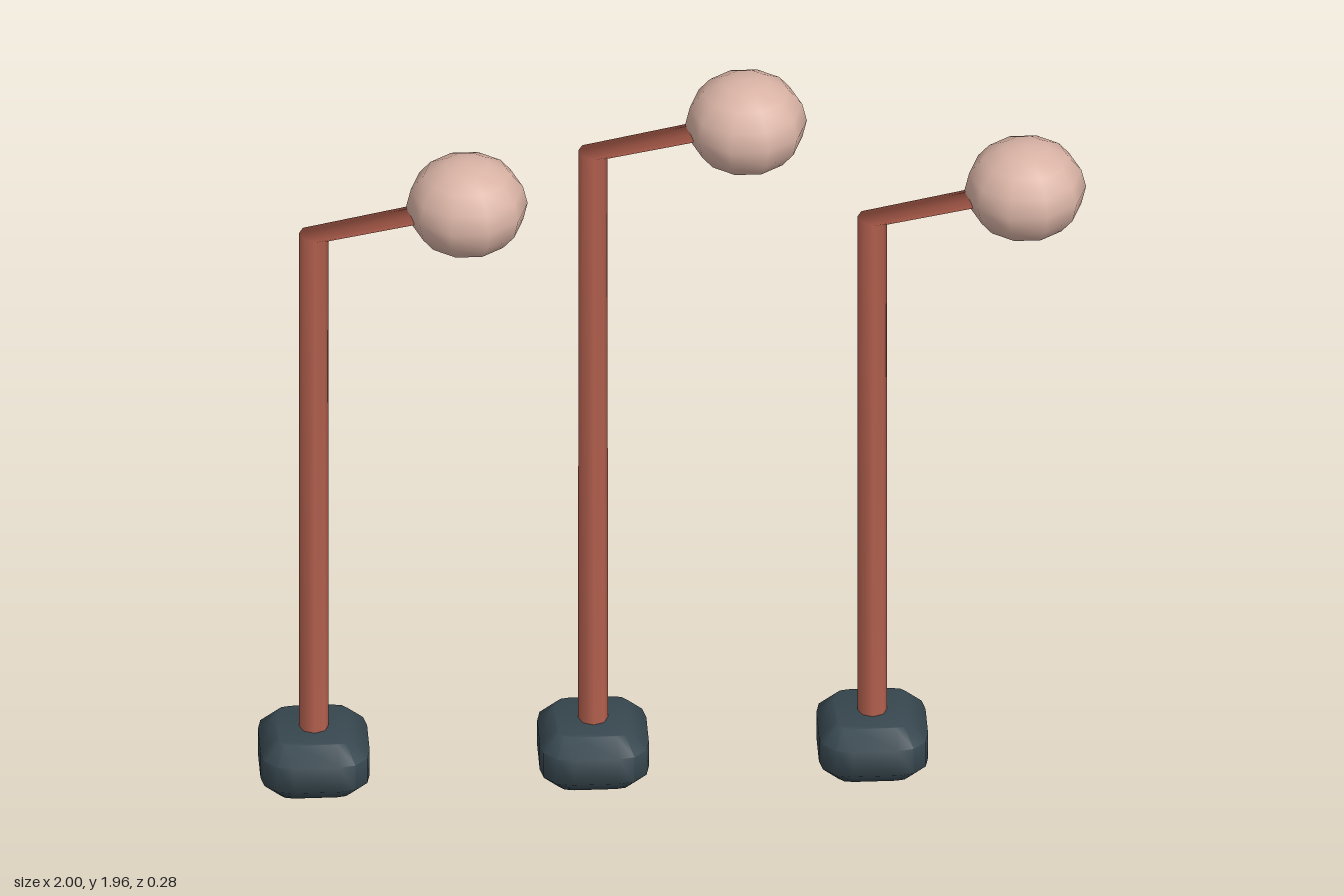
import * as THREE from 'three';
import { toCreasedNormals } from 'three/addons/utils/BufferGeometryUtils.js';

const clay = new THREE.MeshStandardMaterial({ color: 0xb5614f });
clay.name = 'clay red';
const blush = new THREE.MeshStandardMaterial({ color: 0xd9b3a5 });
blush.name = 'pale blush';
const slate = new THREE.MeshStandardMaterial({ color: 0x37474f });
slate.name = 'dark slate';

const REACH = 0.37; // globe offset from the post
const RISE = 0.073;

// Rounded square foot with chamfered top and bottom
function footGeometry() {
  const h = 0.091, r = 0.04, s = new THREE.Shape();
  s.moveTo(-h + r, -h);
  s.lineTo(h - r, -h).quadraticCurveTo(h, -h, h, -h + r);
  s.lineTo(h, h - r).quadraticCurveTo(h, h, h - r, h);
  s.lineTo(-h + r, h).quadraticCurveTo(-h, h, -h, h - r);
  s.lineTo(-h, -h + r).quadraticCurveTo(-h, -h, -h + r, -h);
  const geo = new THREE.ExtrudeGeometry(s, {
    depth: 0.07, curveSegments: 3, bevelEnabled: true,
    bevelSize: 0.041, bevelThickness: 0.04, bevelSegments: 1,
  });
  geo.rotateX(-Math.PI / 2).translate(0, 0.04, 0);
  return toCreasedNormals(geo, 0.9);
}

// One bent tube: upright post, mitred corner, then a sloping arm
function stemGeometry(height) {
  const geo = new THREE.CylinderGeometry(0.036, 0.036, 2, 8, 2, true);
  const rings = [
    { x: 0, y: 0.1, tilt: 0 },
    { x: 0, y: height, tilt: -0.2 },
    { x: REACH, y: height + RISE, tilt: -0.36 },
  ];
  const pos = geo.attributes.position, nor = geo.attributes.normal;
  const axis = new THREE.Vector3(0, 0, 1), v = new THREE.Vector3();
  for (let i = 0; i < pos.count; i++) {
    const ring = rings[Math.round(pos.getY(i)) + 1];
    v.set(pos.getX(i), 0, pos.getZ(i)).applyAxisAngle(axis, ring.tilt);
    pos.setXYZ(i, v.x + ring.x, v.y + ring.y, v.z);
    v.normalize();
    nor.setXYZ(i, v.x, v.y, v.z);
  }
  return geo;
}

function addMesh(parent, name, geometry, material) {
  const mesh = new THREE.Mesh(geometry, material);
  mesh.name = name;
  parent.add(mesh);
  return mesh;
}

export function createModel() {
  const model = new THREE.Group();
  model.name = 'lampRow';
  const foot = footGeometry();
  const globe = new THREE.SphereGeometry(0.147, 10, 8).scale(1, 0.84, 1);

  // Three lamps, the middle one taller
  [1.55, 1.762, 1.55].forEach((height, i) => {
    const lamp = new THREE.Group();
    lamp.name = ['rightLamp', 'middleLamp', 'leftLamp'][i];
    lamp.position.x = -0.867 + i * 0.675;
    addMesh(lamp, 'foot', foot, slate);
    addMesh(lamp, 'postAndArm', stemGeometry(height), clay);
    addMesh(lamp, 'globe', globe, blush).position.set(REACH, height + RISE, 0);
    model.add(lamp);
  });
  return model;
}
